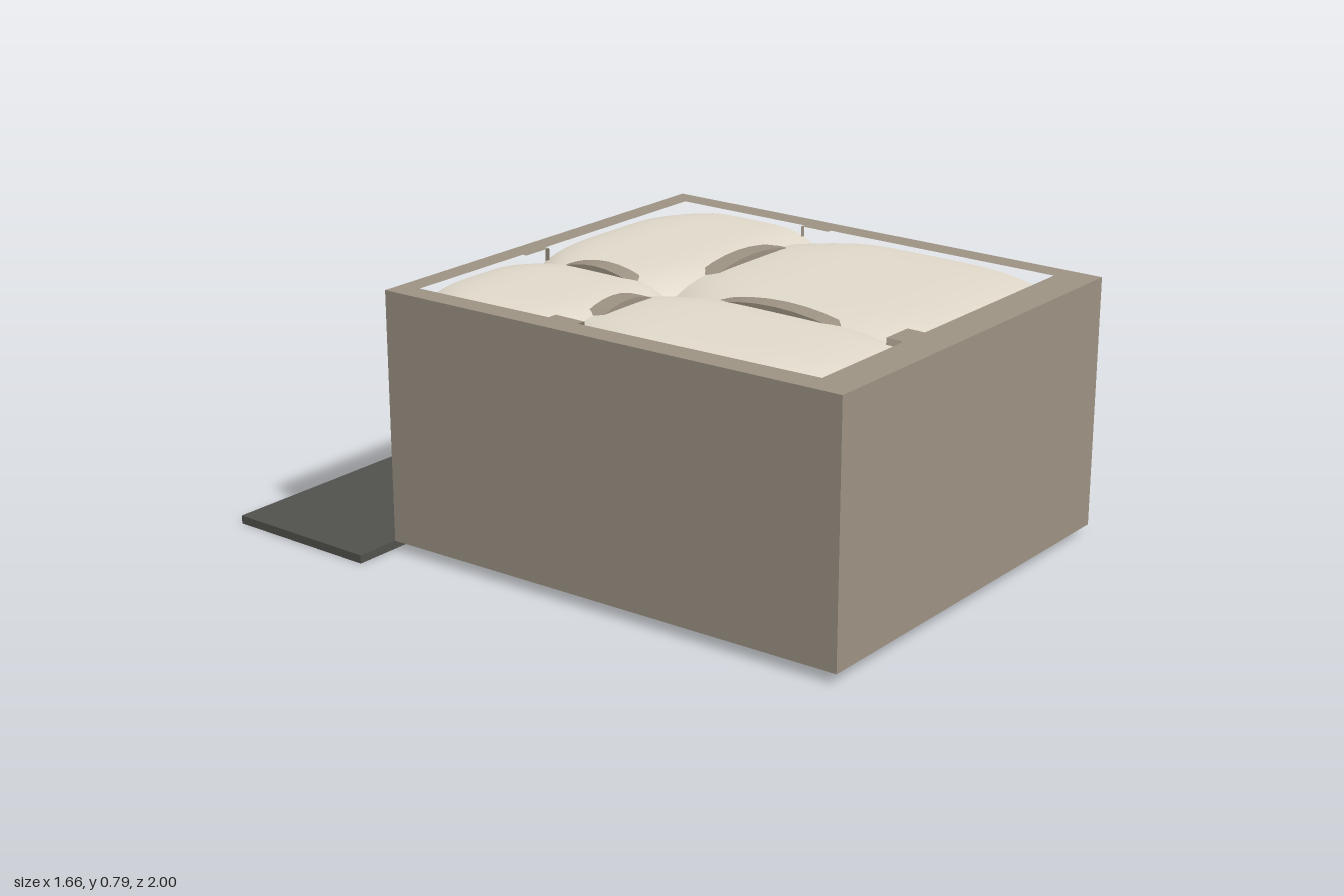
import * as THREE from 'three';

const wallMat = new THREE.MeshStandardMaterial({ color: 0x9c9283 });
wallMat.name = 'stone wall';
const vaultMat = new THREE.MeshStandardMaterial({ color: 0xe0d9cb, side: THREE.DoubleSide });
vaultMat.name = 'cream plaster';
const darkMat = new THREE.MeshStandardMaterial({ color: 0x51524c });
darkMat.name = 'dark slate';

const SEAM_X = -0.15, SEAM_Z = 0.07;
const LEFT = -0.63, RIGHT = 0.565, BACK = -0.435, FRONT = 0.885;
const leftAt = z => LEFT + (z - BACK) / (FRONT - BACK) * 0.06;

// plan outlines as [x, z]
const outer = [[-0.7, -0.5], [0.635, -0.5], [0.635, 1], [-0.645, 1]];
// inner outline with a pilaster on every side, starting and ending on the back wall
const inner = [
  [RIGHT, BACK], [RIGHT, 0.02], [0.55, 0.02], [0.55, 0.12], [RIGHT, 0.12],
  [RIGHT, FRONT], [-0.1, FRONT], [-0.1, 0.83], [-0.2, 0.83], [-0.2, FRONT],
  [leftAt(FRONT), FRONT], [leftAt(0.12), 0.12], [-0.58, 0.12], [-0.58, 0.02],
  [leftAt(0.02), 0.02], [LEFT, BACK], [-0.2, BACK], [-0.2, -0.42], [-0.1, -0.42], [-0.1, BACK],
];
const DOOR = [0, 0.56], DOOR_TOP = 0.55;

function slab(name, mat, outline, y0, y1, hole) {
  const pts = a => a.map(([x, z]) => new THREE.Vector2(x, -z));
  const shape = new THREE.Shape(pts(outline));
  if (hole) shape.holes.push(new THREE.Path(pts(hole)));
  const geo = new THREE.ExtrudeGeometry(shape, { depth: y1 - y0, bevelEnabled: false });
  geo.rotateX(-Math.PI / 2).translate(0, y0, 0);
  const mesh = new THREE.Mesh(geo, mat);
  mesh.name = name;
  return mesh;
}

function box(name, mat, x0, x1, y0, y1, z0, z1) {
  const mesh = new THREE.Mesh(new THREE.BoxGeometry(x1 - x0, y1 - y0, z1 - z0), mat);
  mesh.position.set((x0 + x1) / 2, (y0 + y1) / 2, (z0 + z1) / 2);
  mesh.name = name;
  return mesh;
}

// pillow-shaped vault over one bay
function vault(xa, xb, z0, z1) {
  const geo = new THREE.PlaneGeometry(2, 2, 28, 28).rotateX(-Math.PI / 2);
  const p = geo.attributes.position;
  const swell = t => 1 - t ** 4;
  for (let i = 0; i < p.count; i++) {
    const u = p.getX(i), v = p.getZ(i);
    const z = THREE.MathUtils.lerp(z0, z1, (v + 1) / 2);
    const x = THREE.MathUtils.lerp(xa(z), xb(z), (u + 1) / 2);
    const a = swell(u), b = swell(v);
    p.setXYZ(i, x, 0.715 + 0.05 * (a + b) - 0.035 * a * b, z);
  }
  geo.computeVertexNormals();
  const mesh = new THREE.Mesh(geo, vaultMat);
  mesh.name = 'vault';
  return mesh;
}

// faceted arch rib running along x, spanning the given length
function rib(length) {
  const top = [], bottom = [], n = 12;
  for (let i = 0; i <= n; i++) {
    const t = -1 + 2 * i / n, x = t * length / 2;
    top.push(new THREE.Vector2(x, 0.787 - 0.09 * t * t));
    bottom.unshift(new THREE.Vector2(x, 0.73 - 0.25 * t * t));
  }
  const geo = new THREE.ExtrudeGeometry(new THREE.Shape([...top, ...bottom]), { depth: 0.06, bevelEnabled: false });
  geo.translate(0, 0, -0.03);
  const mesh = new THREE.Mesh(geo, wallMat);
  mesh.name = 'archRib';
  return mesh;
}

export function createModel() {
  const model = new THREE.Group();
  model.name = 'vaultedBuilding';

  // walls: a ring above the door head, an open ring below it
  const [d0, d1] = DOOR;
  model.add(slab('upperWalls', wallMat, outer, DOOR_TOP, 0.78, inner));
  const openRing = [
    [d1, -0.5], outer[1], outer[2], outer[3], outer[0], [d0, -0.5], [d0, BACK],
    ...inner.slice().reverse(), [d1, BACK],
  ];
  model.add(slab('lowerWalls', wallMat, openRing, 0.03, DOOR_TOP));

  // floor and outside apron
  model.add(slab('floor', darkMat, inner, 0, 0.03));
  model.add(box('apron', darkMat, -0.83, 0.83, 0, 0.025, -1, -0.51));

  // four vaults
  const seam = () => SEAM_X, right = () => RIGHT;
  for (const [z0, z1] of [[BACK, SEAM_Z], [SEAM_Z, FRONT]]) {
    model.add(vault(leftAt, seam, z0, z1), vault(seam, right, z0, z1));
  }

  // arch ribs along the seams, and the central pier
  for (const [a, b] of [[-0.59, SEAM_X], [SEAM_X, 0.555]]) {
    const r = rib(b - a);
    r.position.set((a + b) / 2, 0, SEAM_Z);
    model.add(r);
  }
  for (const [a, b] of [[-0.43, SEAM_Z], [SEAM_Z, 0.84]]) {
    const r = rib(b - a);
    r.rotation.y = Math.PI / 2;
    r.position.set(SEAM_X, 0, (a + b) / 2);
    model.add(r);
  }
  model.add(box('pier', wallMat, -0.2, -0.1, 0.03, 0.69, 0.02, 0.12));

  // door frame with a folded shutter under its head
  const door = new THREE.Group();
  door.name = 'doorFrame';
  door.add(box('doorPost', darkMat, d0, d0 + 0.012, 0.03, 0.56, -0.506, BACK));
  door.add(box('doorPost', darkMat, d1 - 0.012, d1, 0.03, 0.56, -0.506, BACK));
  door.add(box('doorHead', darkMat, d0, d1, 0.545, 0.56, -0.506, BACK));
  door.add(box('shutterBacking', darkMat, d0, d1, 0.455, 0.55, -0.485, -0.45));
  const slats = 28, step = (d1 - d0) / slats;
  for (let i = 0; i < slats; i++) {
    const x = d0 + i * step;
    door.add(box('shutterFold', darkMat, x, x + step * 0.5, 0.455, 0.55, -0.504, -0.48));
  }
  model.add(door);

  // low rounded vehicle body parked inside
  const s = new THREE.Shape();
  s.moveTo(-0.08, 0.06);
  s.quadraticCurveTo(-0.09, 0.14, -0.02, 0.16);
  s.quadraticCurveTo(0.06, 0.25, 0.2, 0.24);
  s.quadraticCurveTo(0.32, 0.24, 0.4, 0.16);
  s.quadraticCurveTo(0.56, 0.15, 0.55, 0.06);
  const body = new THREE.Mesh(new THREE.ExtrudeGeometry(s, { depth: 0.28, bevelEnabled: false }), darkMat);
  body.rotation.y = -Math.PI / 2;
  body.position.x = 0.4;
  body.name = 'vehicleBody';
  model.add(body);
  for (const x of [0.15, 0.37]) for (const z of [0.03, 0.44]) {
    const wheel = new THREE.Mesh(new THREE.CylinderGeometry(0.045, 0.045, 0.05, 20), darkMat);
    wheel.rotation.z = Math.PI / 2;
    wheel.position.set(x, 0.075, z);
    wheel.name = 'wheel';
    model.add(wheel);
  }
  return model;
}
